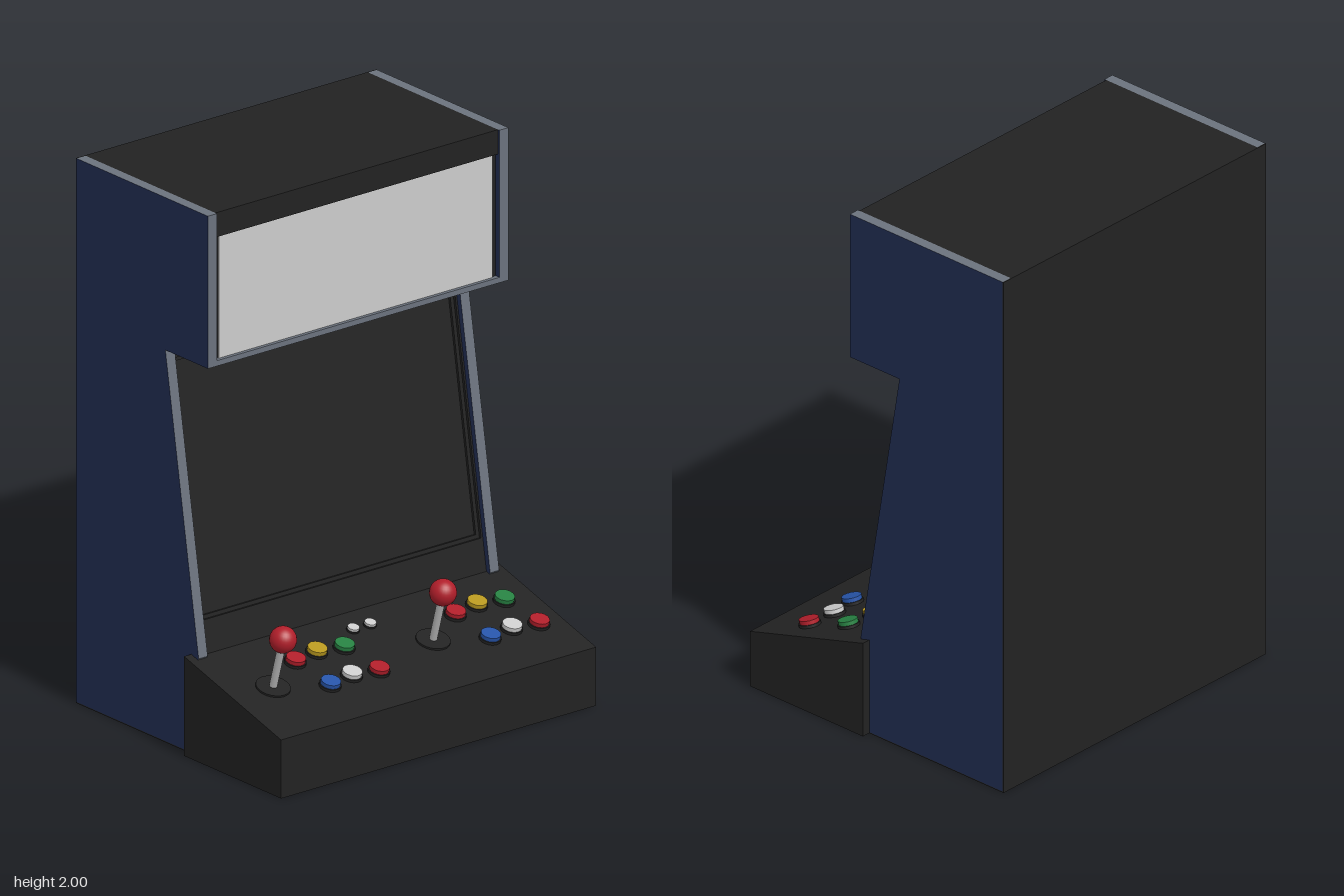
import * as THREE from 'three';

const mat = (name, color) => {
  const m = new THREE.MeshStandardMaterial({ color });
  m.name = name;
  return m;
};

export function createModel() {
  const black = mat('black', 0x222222);
  const navy = mat('navy', 0x212d52);
  const grey = mat('edge grey', 0x6b727d);
  const white = mat('white', 0xcccccc);
  const red = mat('red', 0xb01e2a);
  const yellow = mat('yellow', 0xb8981f);
  const green = mat('green', 0x278042);
  const blue = mat('blue', 0x2754a8);
  const silver = mat('silver', 0xb4b4b4);

  const model = new THREE.Group();
  model.name = 'arcadeCabinet';

  const add = (name, geometry, material, x = 0, y = 0, z = 0, parent = model) => {
    const mesh = new THREE.Mesh(geometry, material);
    mesh.name = name;
    mesh.position.set(x, y, z);
    parent.add(mesh);
    return mesh;
  };
  const box = (name, material, w, h, d, x, y, z) =>
    add(name, new THREE.BoxGeometry(w, h, d), material, x, y, z);

  // Side outline given as [z, y], extruded across x about its own centre
  const profile = (points, width) => {
    const shape = new THREE.Shape(points.map(([z, y]) => new THREE.Vector2(z, y)));
    const g = new THREE.ExtrudeGeometry(shape, { depth: width, bevelEnabled: false });
    return g.translate(0, 0, -width / 2).rotateY(-Math.PI / 2);
  };

  // Side panels: navy faces with grey edging
  const sideOutline = [
    [-0.57, 0.004], [0.05, 0.004], [0.05, 0.3], [0.09, 0.36],
    [-0.09, 1.44], [0.14, 1.44], [0.14, 2], [-0.57, 2],
  ];
  for (const side of [-1, 1]) {
    add(side > 0 ? 'leftSidePanel' : 'rightSidePanel',
      profile(sideOutline, 0.04), [navy, grey], side * 0.645);
  }

  // Body between the panels, with the marquee recess and sloping screen face
  add('body', profile([
    [-0.57, 0.004], [0.05, 0.004], [0.05, 0.36], [-0.13, 1.44],
    [0.12, 1.44], [0.12, 1.91], [0.132, 1.91], [0.132, 2], [-0.57, 2],
  ], 1.25), black);
  box('backPanel', black, 1.33, 2, 0.004, 0, 1, -0.572);
  box('basePlate', black, 1.33, 0.004, 0.62, 0, 0.002, -0.26);

  // Marquee and its lower trim
  box('marquee', white, 1.21, 0.45, 0.006, 0, 1.685, 0.123);
  box('marqueeTrim', grey, 1.25, 0.02, 0.02, 0, 1.45, 0.13);

  // Stepped bezel around the screen, leaning back with the cabinet
  const bezel = new THREE.Group();
  bezel.name = 'screenBezel';
  bezel.position.set(0, 0.9, 0);
  bezel.rotation.x = -Math.atan(1 / 6);
  model.add(bezel);
  const rect = (path, hw, y0, y1) => path.moveTo(-hw, y0).lineTo(hw, y0)
    .lineTo(hw, y1).lineTo(-hw, y1).closePath();
  const frame = (name, inset, depth) => {
    const shape = rect(new THREE.Shape(), 0.625, -0.547, 0.547);
    shape.holes.push(rect(new THREE.Path(), 0.618 - inset, -0.425 + inset, 0.505 - inset));
    add(name, new THREE.ExtrudeGeometry(shape, { depth, bevelEnabled: false }),
      black, 0, 0, -0.042, bezel);
  };
  frame('outerFrame', 0, 0.022);
  frame('innerFrame', 0.014, 0.012);

  // Control panel, wider than the cabinet
  add('controlPanel', profile([[0.05, 0], [0.575, 0], [0.575, 0.215], [0.05, 0.365]], 1.394), black);

  // Fittings stand square to the sloping deck
  const slope = 0.15 / 0.525;
  const onDeck = (name, x, z) => {
    const g = new THREE.Group();
    g.name = name;
    g.position.set(x, 0.215 + (0.575 - z) * slope, z);
    g.rotation.x = Math.atan(slope);
    model.add(g);
    return g;
  };
  const disc = (name, material, r, y0, y1, parent, sides = 16) =>
    add(name, new THREE.CylinderGeometry(r, r, y1 - y0, sides), material, 0, (y0 + y1) / 2, 0, parent);

  const button = (x, z, color, r) => {
    const g = onDeck('button', x, z);
    disc('buttonCollar', black, r * 1.12, -0.003, r * 0.3, g);
    disc('buttonCap', color, r, 0, r * 0.72, g);
  };

  const joystick = (x) => {
    const g = onDeck('joystick', x, 0.318);
    disc('joystickBase', black, 0.061, -0.003, 0.007, g, 24);
    disc('joystickShaft', silver, 0.014, 0, 0.18, g);
    add('joystickBall', new THREE.SphereGeometry(0.048, 24, 16), red, 0, 0.2, 0, g);
  };

  // Two matching player stations
  const layout = [
    [-0.356, 0.233, red], [-0.248, 0.217, yellow], [-0.14, 0.233, green],
    [-0.33, 0.39, blue], [-0.222, 0.374, white], [-0.114, 0.39, red],
  ];
  for (const shift of [0, 0.708]) {
    joystick(-0.523 + shift);
    for (const [x, z, color] of layout) button(x + shift, z, color, 0.035);
  }

  // Small start buttons
  for (const x of [-0.04, 0.035]) button(x, 0.16, white, 0.021);

  return model;
}
